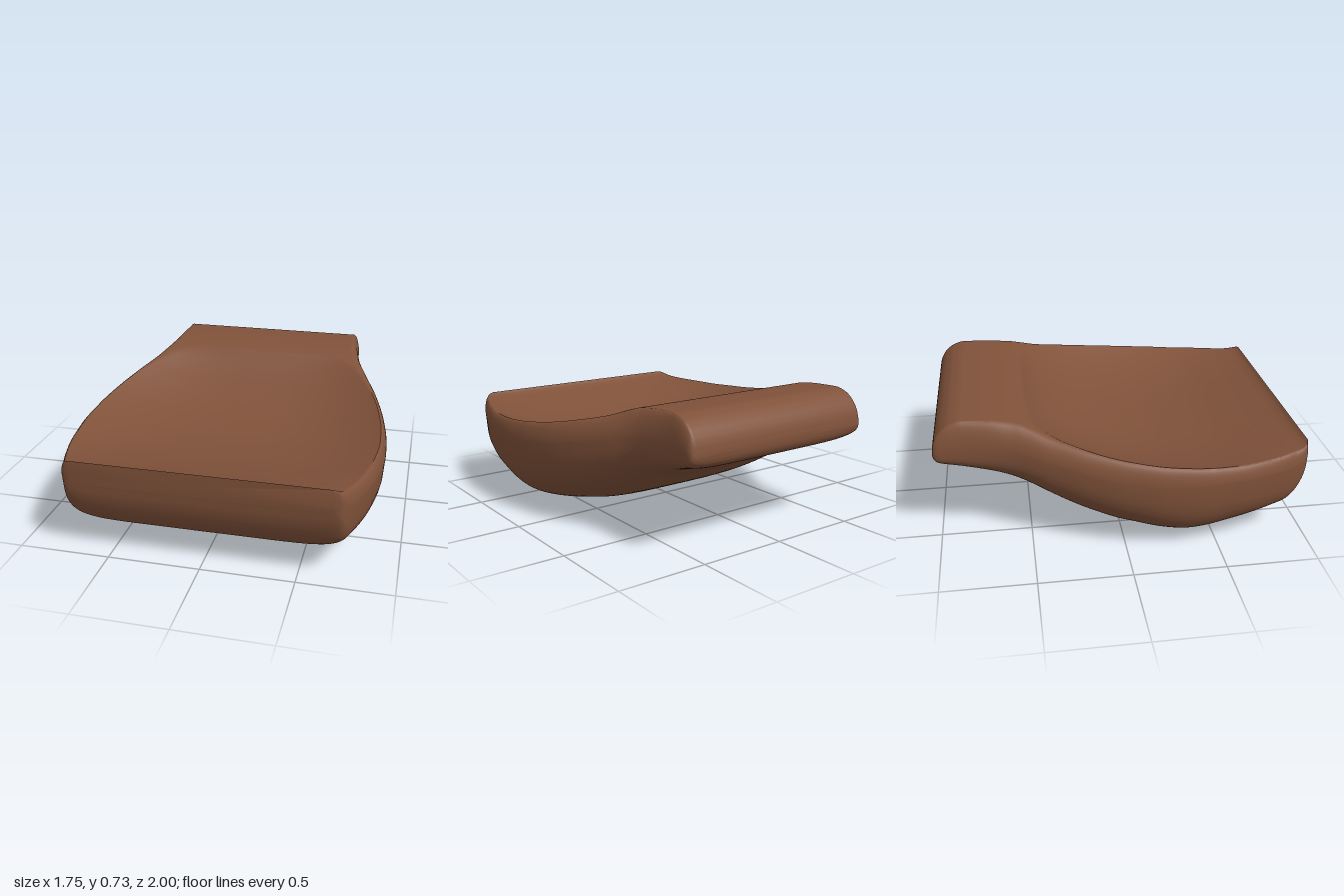
import * as THREE from 'three';
import { toCreasedNormals } from 'three/addons/utils/BufferGeometryUtils.js';

// Smooth monotone curve through [z, value] points
function curve(points) {
  const n = points.length;
  const slope = (i) => (points[i + 1][1] - points[i][1]) / (points[i + 1][0] - points[i][0]);
  const tangent = points.map((_, i) => {
    if (i === 0) return slope(0);
    if (i === n - 1) return slope(n - 2);
    const a = slope(i - 1), b = slope(i);
    return a * b <= 0 ? 0 : (2 * a * b) / (a + b);
  });
  return (z) => {
    let i = 0;
    while (i < n - 2 && z > points[i + 1][0]) i++;
    const h = points[i + 1][0] - points[i][0];
    const t = Math.min(1, Math.max(0, (z - points[i][0]) / h));
    const t2 = t * t, t3 = t2 * t;
    return (2 * t3 - 3 * t2 + 1) * points[i][1] + (t3 - 2 * t2 + t) * h * tangent[i]
      + (3 * t2 - 2 * t3) * points[i + 1][1] + (t3 - t2) * h * tangent[i + 1];
  };
}

// Half width of the cushion
const width = curve([[-1, 0.565], [-0.992, 0.58], [-0.97, 0.59], [-0.8, 0.603], [-0.6, 0.637], [-0.4, 0.715],
  [-0.2, 0.79], [0, 0.842], [0.2, 0.87], [0.35, 0.875], [0.6, 0.85], [0.8, 0.8], [0.92, 0.757],
  [0.965, 0.738], [0.99, 0.715], [1, 0.685]]);
// Height of the rim, and the width of its rounded shoulder
const rim = curve([[-1, 0.57], [-0.995, 0.6], [-0.98, 0.64], [-0.95, 0.682], [-0.9, 0.718], [-0.84, 0.734],
  [-0.7, 0.729], [-0.55, 0.71], [-0.5, 0.694], [-0.4, 0.656], [-0.3, 0.627], [0, 0.562], [0.3, 0.522],
  [0.6, 0.505], [0.8, 0.508], [0.93, 0.518], [0.98, 0.532], [1, 0.547]]);
const shoulder = curve([[-1, 0.025], [-0.85, 0.04], [-0.7, 0.055], [-0.5, 0.08], [-0.3, 0.065], [0, 0.045],
  [0.35, 0.035], [0.9, 0.03], [1, 0.02]]);
// Depth of the dished seat below the rim, and its half width
const depth = curve([[-1, 0], [-0.51, 0], [-0.47, 0.03], [-0.4, 0.067], [-0.3, 0.1], [-0.15, 0.127],
  [0, 0.136], [0.2, 0.13], [0.4, 0.11], [0.6, 0.08], [0.8, 0.038], [0.92, 0.012], [1, 0]]);
const dish = curve([[-1, 0.42], [-0.52, 0.44], [-0.47, 0.53], [-0.4, 0.61], [-0.3, 0.68], [0, 0.8],
  [0.35, 0.845], [0.8, 0.77], [1, 0.66]]);
// Underside height and widest height
const base = curve([[-1, 0.525], [-0.995, 0.508], [-0.98, 0.486], [-0.95, 0.467], [-0.85, 0.434], [-0.7, 0.38],
  [-0.5, 0.28], [-0.3, 0.17], [-0.15, 0.1], [0, 0.044], [0.2, 0.009], [0.33, 0], [0.42, 0.009],
  [0.55, 0.037], [0.7, 0.083], [0.8, 0.118], [0.88, 0.155], [0.93, 0.205], [0.97, 0.285], [0.99, 0.35], [1, 0.42]]);
const waist = curve([[-1, 0.55], [-0.97, 0.565], [-0.9, 0.585], [-0.7, 0.585], [-0.4, 0.53], [0, 0.45],
  [0.35, 0.42], [0.9, 0.43], [1, 0.48]]);
// Squareness of the lower corners and how far the sides lean in towards them
const square = curve([[-1, 6], [-0.8, 5], [-0.5, 3.5], [0, 3.6], [0.3, 4.6], [0.6, 5.2], [0.8, 6.5], [0.9, 8], [1, 9]]);
const lean = curve([[-1, 0.02], [-0.8, 0.03], [-0.4, 0.06], [0, 0.11], [0.5, 0.12], [0.8, 0.09], [0.9, 0.06], [1, 0.02]]);

const TOP = 36, EDGE = 8, UNDER = 56;

// One closed cross-section, running from the left side over the top and back underneath
function section(z) {
  const w = width(z), r = rim(z), m = waist(z), b = base(z), n = square(z), k = lean(z);
  const inset = shoulder(z), inner = w - inset;
  const points = [];
  const edge = (i) => {
    const a = (i / EDGE) * Math.PI / 2;
    return [inner + inset * Math.cos(a) ** 1.2, m + (r - m) * Math.sin(a) ** 1.2];
  };
  for (let i = 0; i < EDGE; i++) points.push(edge(i));
  for (let i = 0; i <= TOP; i++) {
    const x = inner * Math.cos((i / TOP) * Math.PI);
    const t = Math.min(1, Math.abs(x) / Math.min(dish(z), inner));
    points.push([x, r - depth(z) * (1 - t ** 3)]);
  }
  for (let i = EDGE - 1; i >= 0; i--) {
    const [x, y] = edge(i);
    points.push([-x, y]);
  }
  for (let i = 1; i < UNDER; i++) {
    const a = (i / UNDER) * Math.PI, c = Math.cos(a), drop = Math.sin(a) ** (2 / n);
    const x = w * Math.abs(c) ** (2 / n) * (1 - k * drop * drop);
    points.push([-Math.sign(c) * x, m - (m - b) * drop]);
  }
  return points;
}

function cushionGeometry(steps = 170) {
  const positions = [], index = [];
  let count = 0;
  for (let i = 0; i <= steps; i++) {
    const z = -Math.cos((i / steps) * Math.PI);
    const points = section(z);
    count = points.length;
    points.forEach(([x, y]) => positions.push(x, y, z));
  }
  // Skin between neighbouring sections
  for (let i = 0; i < steps; i++) {
    for (let j = 0; j < count; j++) {
      const k = (j + 1) % count;
      const a = i * count + j, b = i * count + k;
      index.push(a, b, a + count, b, b + count, a + count);
    }
  }
  // Narrow flat faces closing both ends
  const back = positions.length / 3;
  positions.push(0, waist(-1), -1, 0, waist(1), 1);
  for (let j = 0; j < count; j++) {
    const k = (j + 1) % count;
    index.push(back, k, j, back + 1, steps * count + j, steps * count + k);
  }
  const geometry = new THREE.BufferGeometry();
  geometry.setAttribute('position', new THREE.Float32BufferAttribute(positions, 3));
  geometry.setIndex(index);
  return toCreasedNormals(geometry, 0.7);
}

export function createModel() {
  const group = new THREE.Group();
  group.name = 'seatCushion';
  const leather = new THREE.MeshStandardMaterial({ color: 0x80523a });
  leather.name = 'brown leather';
  const cushion = new THREE.Mesh(cushionGeometry(), leather);
  cushion.name = 'cushion';
  group.add(cushion);
  return group;
}
